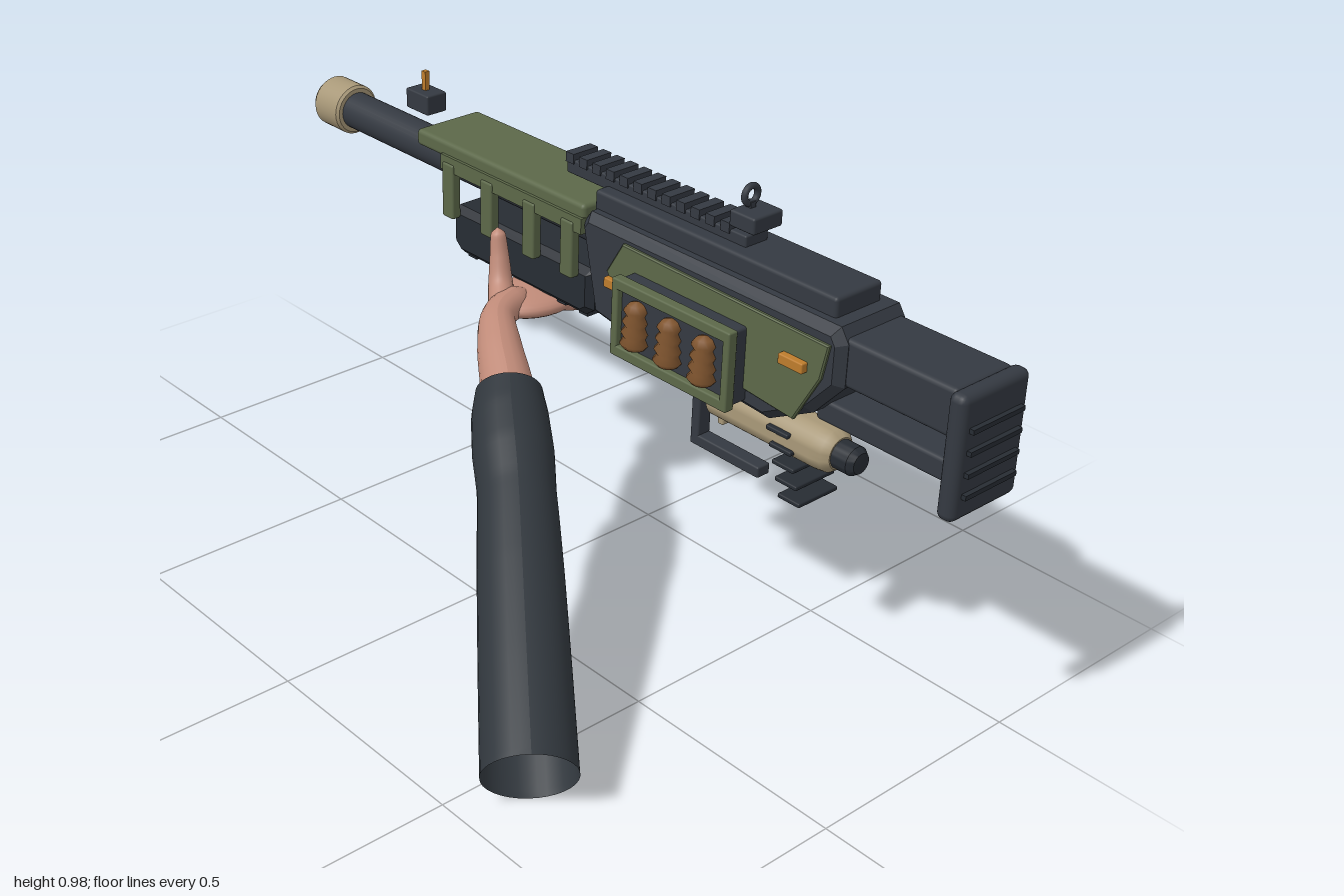
import * as THREE from 'three';
import { toCreasedNormals } from 'three/addons/utils/BufferGeometryUtils.js';
import { RoundedBoxGeometry } from 'three/addons/geometries/RoundedBoxGeometry.js';

const CX = 0.37; // centre line of the gun

function material(name, color, side = THREE.FrontSide) {
  const m = new THREE.MeshStandardMaterial({ color, side });
  m.name = name;
  return m;
}

// Tube along points with a radius at every point
function limb(points, radii, sides = 20, segments = 40) {
  const curve = new THREE.CatmullRomCurve3(points.map((p) => new THREE.Vector3(...p)));
  const geo = new THREE.TubeGeometry(curve, segments, 1, sides);
  const pos = geo.attributes.position, v = new THREE.Vector3();
  for (let i = 0; i < pos.count; i++) {
    const u = Math.floor(i / (sides + 1)) / segments;
    const centre = curve.getPointAt(u);
    const f = curve.getUtoTmapping(u) * (radii.length - 1);
    const k = Math.min(Math.floor(f), radii.length - 2);
    const r = THREE.MathUtils.lerp(radii[k], radii[k + 1], f - k);
    v.fromBufferAttribute(pos, i).sub(centre).multiplyScalar(r).add(centre);
    pos.setXYZ(i, v.x, v.y, v.z);
  }
  geo.computeVertexNormals();
  return geo;
}

// Side outline of [z, y] points, extruded across x about x = 0
function sideProfile(points, width, bevel = 0) {
  const shape = new THREE.Shape(points.map(([z, y]) => new THREE.Vector2(z, y)));
  const depth = width - 2 * bevel;
  const geo = new THREE.ExtrudeGeometry(shape, {
    depth, bevelEnabled: bevel > 0, bevelSize: bevel, bevelOffset: -bevel,
    bevelThickness: bevel, bevelSegments: 1,
  });
  return geo.translate(0, 0, -depth / 2).rotateY(-Math.PI / 2);
}

// Turned part along z, profile of [radius, distance towards the muzzle]
function turned(points, sides = 32) {
  const geo = new THREE.LatheGeometry(points.map(([r, d]) => new THREE.Vector2(r, d)), sides);
  return toCreasedNormals(geo.rotateX(-Math.PI / 2), 0.6);
}

export function createModel() {
  const model = new THREE.Group();
  const dark = material('gunmetal', 0x343941);
  const black = material('darkMetal', 0x272c33);
  const green = material('oliveGreen', 0x5c6849);
  const tan = material('tan', 0xa89878);
  const skin = material('skin', 0xbf8a78);
  const cloth = material('sleeveCloth', 0x30363c, THREE.DoubleSide);
  const brown = material('brown', 0x80552f);
  const orange = material('orange', 0xbd7c2c);

  const add = (name, geo, mat, x = 0, y = 0, z = 0) => {
    const m = new THREE.Mesh(geo, mat);
    m.name = name;
    m.position.set(x, y, z);
    model.add(m);
    return m;
  };
  // Box given by its limits; rounded when r > 0
  const box = (name, mat, [x0, x1], [y0, y1], [z0, z1], r = 0) => {
    const s = [x1 - x0, y1 - y0, z1 - z0];
    const geo = r ? new RoundedBoxGeometry(...s, 2, r) : new THREE.BoxGeometry(...s);
    return add(name, geo, mat, (x0 + x1) / 2, (y0 + y1) / 2, (z0 + z1) / 2);
  };
  const across = (w) => [CX - w / 2, CX + w / 2];

  // Stock
  box('buttPlate', dark, across(0.187), [0.54, 0.8], [0.95, 0.99], 0.016);
  for (let i = 0; i < 4; i++) {
    const y = 0.73 - i * 0.045;
    box('buttRib', black, across(0.143), [y - 0.005, y + 0.005], [0.985, 1]);
  }
  box('stockUpper', dark, across(0.157), [0.7, 0.8], [0.68, 0.96], 0.01);
  box('stockLower', dark, across(0.1), [0.588, 0.636], [0.62, 0.96], 0.008);

  // Receiver with green side panels
  add('receiver', sideProfile([[0.71, 0.79], [0.69, 0.82], [0.01, 0.82], [-0.01, 0.79], [0.035, 0.6],
    [0.13, 0.585], [0.53, 0.56], [0.64, 0.62], [0.71, 0.7]], 0.195, 0.018), dark, CX);
  const panel = [[0.685, 0.785], [0.13, 0.795], [0.085, 0.72], [0.14, 0.64], [0.61, 0.6], [0.67, 0.71]];
  for (const s of [-1, 1])
    add('sidePanel', sideProfile(panel, 0.012, 0.003), green, CX + s * 0.099);
  box('topCover', dark, across(0.126), [0.8, 0.86], [0, 0.66], 0.008);

  // Sight rail
  box('rail', dark, across(0.062), [0.85, 0.883], [-0.123, 0.395], 0.004);
  for (let i = 0; i < 12; i++) {
    const z = 0.34 - i * 0.041;
    box('railTooth', dark, across(0.068), [0.875, 0.897], [z - 0.012, z + 0.012]);
  }
  box('rearSightBase', dark, across(0.08), [0.895, 0.93], [0.355, 0.422], 0.005);
  box('rearSightPost', dark, across(0.014), [0.92, 0.942], [0.364, 0.38]);
  add('rearSightRing', new THREE.TorusGeometry(0.018, 0.007, 10, 24), dark, CX, 0.955, 0.372);
  box('frontSightBase', dark, across(0.055), [0.83, 0.876], [-0.674, -0.596], 0.004);
  box('frontSightPin', orange, across(0.012), [0.87, 0.92], [-0.643, -0.63]);

  // Barrel and muzzle
  add('barrel', new THREE.CylinderGeometry(0.043, 0.043, 0.95, 32).rotateX(Math.PI / 2), dark, CX, 0.748, -0.455);
  add('muzzle', turned([[0.03, 0], [0.053, 0], [0.059, 0.006], [0.059, 0.087], [0.05, 0.1],
    [0.034, 0.1], [0.03, 0.04]]), tan, CX, 0.748, -0.9);
  add('muzzleBore', turned([[0.034, 0.02], [0.034, 0.097], [0.022, 0.097], [0.018, 0.035], [0, 0.035]]),
    black, CX, 0.748, -0.9);

  // Handguard
  box('handguardTop', green, across(0.176), [0.79, 0.828], [-0.56, -0.005], 0.01);
  for (const s of [-1, 1]) {
    const x = CX + s * 0.087;
    box('handguardRail', green, [x - 0.008, x + 0.008], [0.765, 0.8], [-0.465, -0.005]);
    for (const z of [-0.047, -0.168, -0.307, -0.438])
      box('handguardRib', green, [x - 0.012, x + 0.012], [0.657, 0.785], [z - 0.019, z + 0.019], 0.005);
  }
  add('foreEnd', sideProfile([[0.005, 0.67], [-0.005, 0.678], [-0.44, 0.678], [-0.452, 0.665], [-0.452, 0.59],
    [-0.425, 0.567], [-0.02, 0.567], [0.005, 0.585]], 0.15, 0.015), black, CX);
  for (const z of [-0.04, -0.11, -0.33, -0.41])
    box('foreEndRidge', black, across(0.1), [0.555, 0.575], [z - 0.014, z + 0.014]);

  // Grip canister, its ridges and the guard
  add('canister', turned([[0, -0.16], [0.034, -0.16], [0.046, -0.145], [0.049, -0.12], [0.049, 0.16], [0, 0.16]]),
    tan, CX, 0.505, 0.49);
  box('canisterClip', tan, across(0.024), [0.438, 0.49], [0.33, 0.346], 0.004);
  add('canisterKnob', turned([[0, -0.055], [0.022, -0.053], [0.031, -0.04], [0.031, 0], [0, 0]]),
    black, CX, 0.505, 0.648);
  for (let i = 0; i < 5; i++) {
    const y = 0.52 - i * 0.034, z = 0.53 + i * 0.011;
    box('gripRidge', black, across(0.112), [y - 0.005, y + 0.005], [z - 0.029, z + 0.029], 0.003);
  }
  box('guardUpright', dark, across(0.035), [0.37, 0.575], [0.261, 0.284], 0.004);
  box('guardBar', dark, across(0.035), [0.365, 0.39], [0.261, 0.455], 0.004);

  // Ammunition holder
  box('holderBox', dark, [0.235, 0.28], [0.583, 0.746], [0.165, 0.48], 0.006);
  box('holderPlate', dark, [0.226, 0.238], [0.6, 0.73], [0.175, 0.47]);
  for (const y of [0.59, 0.738])
    box('holderEdge', green, [0.212, 0.236], [y - 0.012, y + 0.012], [0.158, 0.486], 0.004);
  for (const z of [0.167, 0.477])
    box('holderEnd', green, [0.212, 0.236], [0.585, 0.742], [z - 0.009, z + 0.009], 0.004);
  const lumps = [[0, 0.615], [0.022, 0.615]];
  for (let i = 0; i < 4; i++)
    lumps.push([0.032 - i * 0.002, 0.627 + i * 0.024], [0.023 - i * 0.002, 0.639 + i * 0.024]);
  lumps.push([0, 0.718]);
  for (const z of [0.225, 0.32, 0.415])
    add('round', new THREE.LatheGeometry(lumps.map(([r, y]) => new THREE.Vector2(r, y)), 14), brown, 0.219, 0, z);
  box('selector', orange, [0.25, 0.27], [0.712, 0.734], [0.575, 0.637], 0.003);
  box('catch', orange, [0.253, 0.275], [0.69, 0.712], [0.09, 0.135], 0.003);

  // Sleeve, open at both ends
  add('sleeve', limb([[-0.39, 0.088, 0.62], [-0.27, 0.183, 0.465], [-0.15, 0.278, 0.31], [-0.05, 0.357, 0.18],
    [0.0, 0.397, 0.11], [0.05, 0.436, 0.04], [0.085, 0.464, -0.005]],
  [0.093, 0.09, 0.086, 0.08, 0.084, 0.08, 0.07], 32, 60), cloth);

  // Forearm and hand
  add('forearm', limb([[0.0, 0.4, 0.1], [0.085, 0.465, -0.01], [0.14, 0.51, -0.1], [0.195, 0.54, -0.17],
    [0.26, 0.545, -0.195], [0.31, 0.54, -0.2]], [0.055, 0.057, 0.048, 0.037, 0.036, 0.02]), skin);
  add('palm', new THREE.SphereGeometry(1, 24, 16).scale(0.115, 0.032, 0.085), skin, 0.325, 0.54, -0.2);
  [-0.13, -0.175, -0.22, -0.262].forEach((z, i) => {
    const tip = [0.625, 0.64, 0.638, 0.62][i];
    add('finger', limb([[0.33, 0.54, z * 0.7 - 0.06], [0.4, 0.533, z], [0.446, 0.545, z], [0.459, 0.59, z],
      [0.452, tip - 0.008, z - 0.004], [0.45, tip, z - 0.004]], [0.02, 0.021, 0.02, 0.018, 0.015, 0], 14, 30), skin);
  });
  add('thumb', limb([[0.23, 0.545, -0.2], [0.255, 0.575, -0.235], [0.268, 0.63, -0.255], [0.272, 0.68, -0.265],
    [0.272, 0.693, -0.267]], [0.03, 0.027, 0.021, 0.016, 0], 14, 30), skin);

  return model;
}
